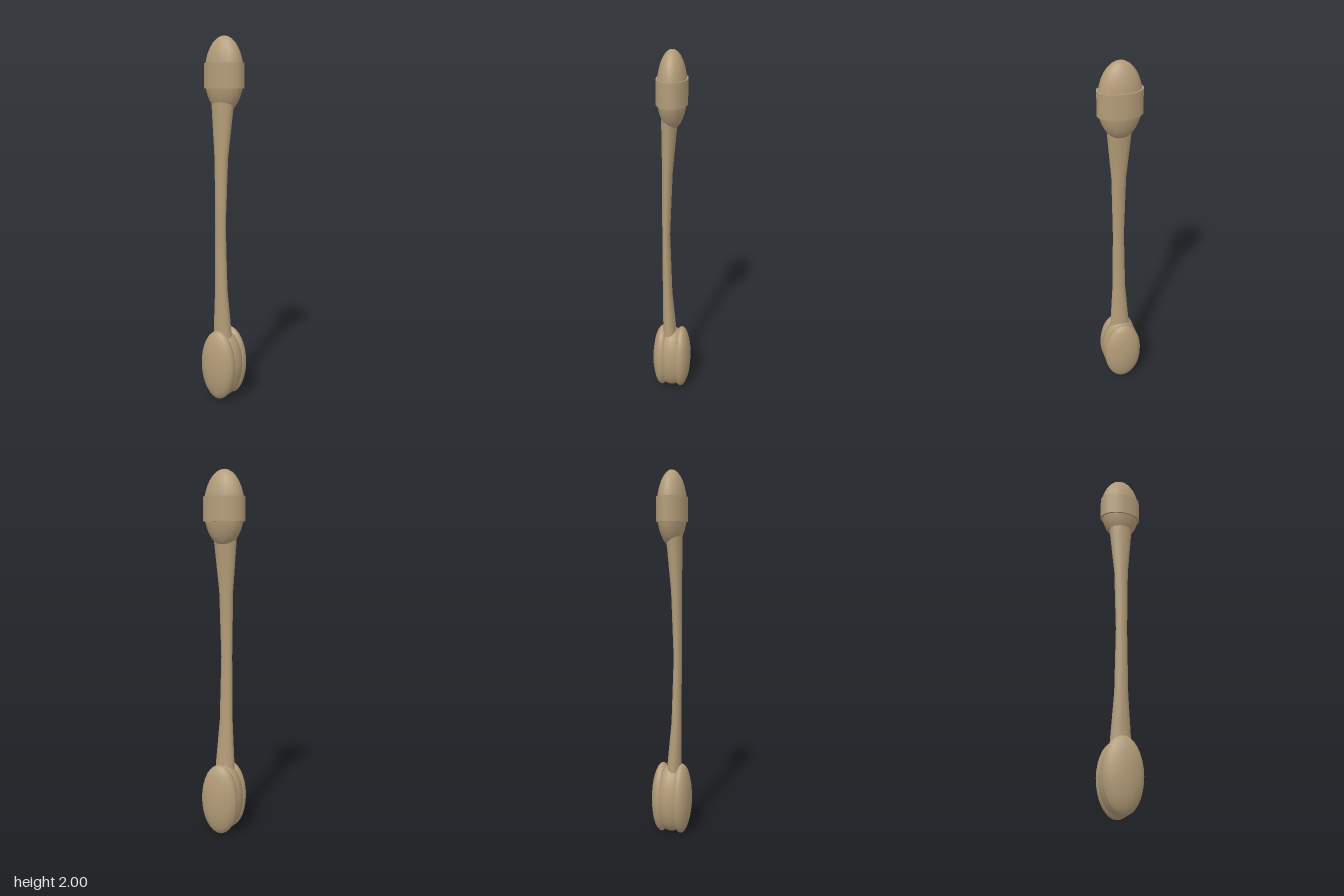
import * as THREE from 'three';

const material = new THREE.MeshStandardMaterial({ color: 0xb39c78 });

function addMesh(parent, name, geometry) {
  const mesh = new THREE.Mesh(geometry, material);
  mesh.name = name;
  parent.add(mesh);
  return mesh;
}

function addEllipsoid(parent, name, x, y, rx, ry, rz) {
  const mesh = addMesh(parent, name, new THREE.SphereGeometry(1, 16, 16));
  mesh.position.set(x, y, 0);
  mesh.scale.set(rx, ry, rz);
}

// Tapered shaft lofted through elliptical rings: [y, left x, right x, half depth]
function shaftGeometry(rings, sides) {
  const geometry = new THREE.CylinderGeometry(1, 1, 1, sides, rings.length - 1, true);
  const p = geometry.attributes.position;
  for (let i = 0; i < p.count; i++) {
    const [y, x0, x1, rz] = rings[Math.floor(i / (sides + 1))];
    p.setXYZ(i, (x0 + x1) / 2 + p.getX(i) * (x1 - x0) / 2, y, p.getZ(i) * rz);
  }
  geometry.computeVertexNormals();
  // Join the normals across the seam
  const n = geometry.attributes.normal;
  for (let r = 0; r < rings.length; r++) {
    const a = r * (sides + 1), b = a + sides;
    const v = new THREE.Vector3().fromBufferAttribute(n, a)
      .add(new THREE.Vector3().fromBufferAttribute(n, b)).normalize();
    n.setXYZ(a, v.x, v.y, v.z);
    n.setXYZ(b, v.x, v.y, v.z);
  }
  return geometry;
}

export function createModel() {
  const group = new THREE.Group();
  group.name = 'clubTool';

  // Rounded head with a raised band
  addEllipsoid(group, 'head', 0, 1.8, 0.078, 0.2, 0.115);
  const band = addMesh(group, 'headBand', new THREE.CylinderGeometry(1, 1, 0.13, 16));
  band.position.y = 1.795;
  band.scale.set(0.081, 1, 0.118);

  // Shaft, waisted in the middle and bowed towards one side
  addMesh(group, 'shaft', shaftGeometry([
    [1.72, -0.054, 0.04, 0.072],
    [1.62, -0.055, 0.027, 0.064],
    [1.36, -0.053, 0.003, 0.04],
    [1.0, -0.054, -0.011, 0.032],
    [0.64, -0.053, 0.001, 0.038],
    [0.37, -0.051, 0.026, 0.057],
    [0.28, -0.05, 0.034, 0.065],
  ], 16));

  // Foot made of three lobes side by side
  addEllipsoid(group, 'middleLobe', 0, 0.2, 0.1, 0.195, 0.11);
  for (const side of [-1, 1]) {
    addEllipsoid(group, side > 0 ? 'leftLobe' : 'rightLobe', side * 0.055, 0.2, 0.055, 0.2, 0.11);
  }
  return group;
}
